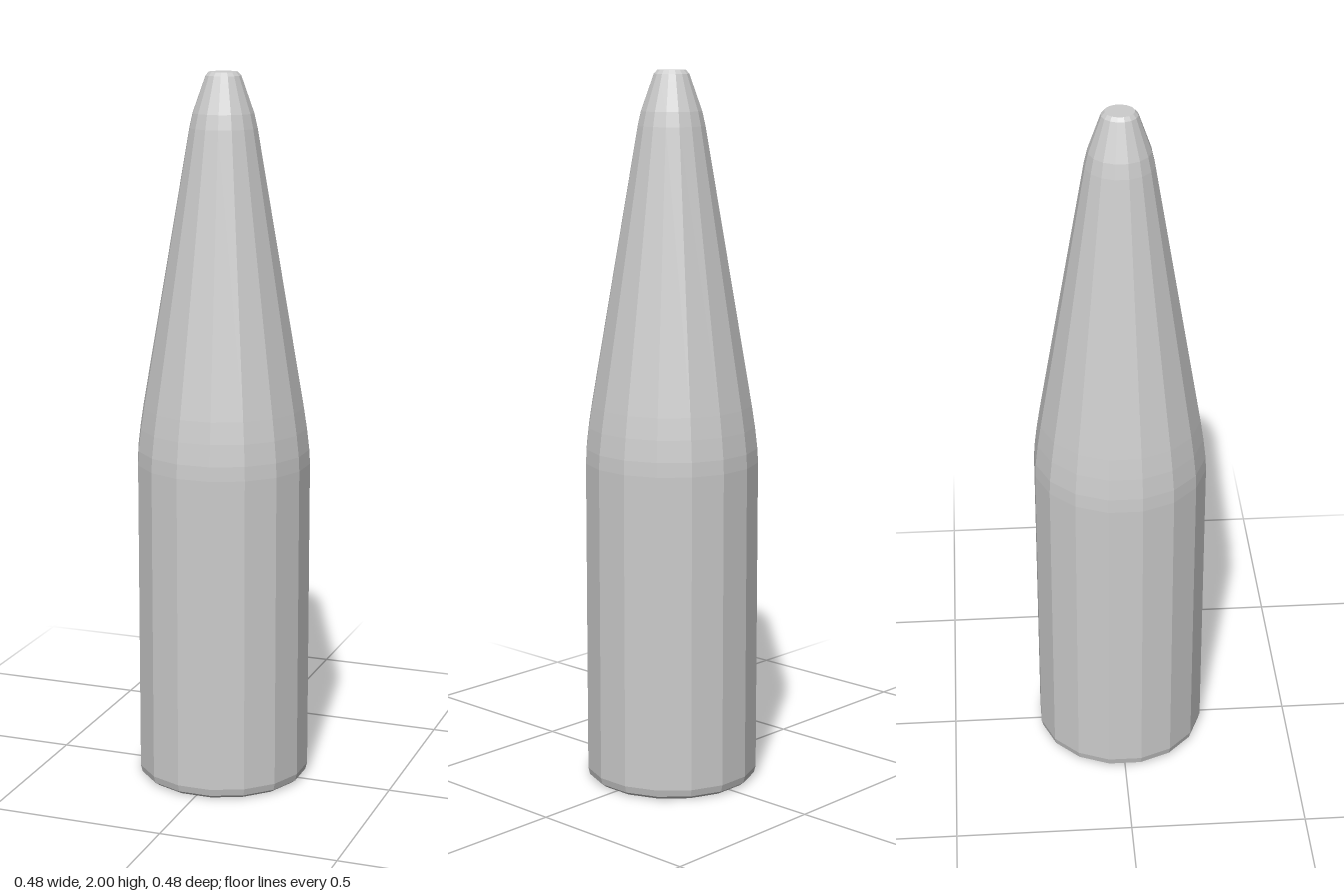
import * as THREE from 'three';

const SIDES = 16;
const material = new THREE.MeshStandardMaterial({ color: 0xcccccc, flatShading: true });

// Faceted solid of revolution, with a flat facet turned to each of the four axes
function facetedLathe(name, profile) {
  const points = profile.map(([r, y]) => new THREE.Vector2(r / Math.cos(Math.PI / SIDES), y));
  const mesh = new THREE.Mesh(new THREE.LatheGeometry(points, SIDES, Math.PI / SIDES), material);
  mesh.name = name;
  return mesh;
}

export function createModel() {
  const model = new THREE.Group();
  model.name = 'taperedRound';

  // Straight body with a small rounded rim around the flat base
  model.add(facetedLathe('body', [
    [0, 0], [0.222, 0], [0.235, 0.01], [0.24, 0.03], [0.24, 0.92],
  ]));

  // Soft shoulder, long taper and blunt tip
  model.add(facetedLathe('nose', [
    [0.24, 0.92], [0.238, 0.96], [0.231, 1.02], [0.222, 1.08],
    [0.092, 1.85], [0.083, 1.89], [0.055, 1.97], [0.048, 1.99], [0.039, 2], [0, 2],
  ]));

  return model;
}
